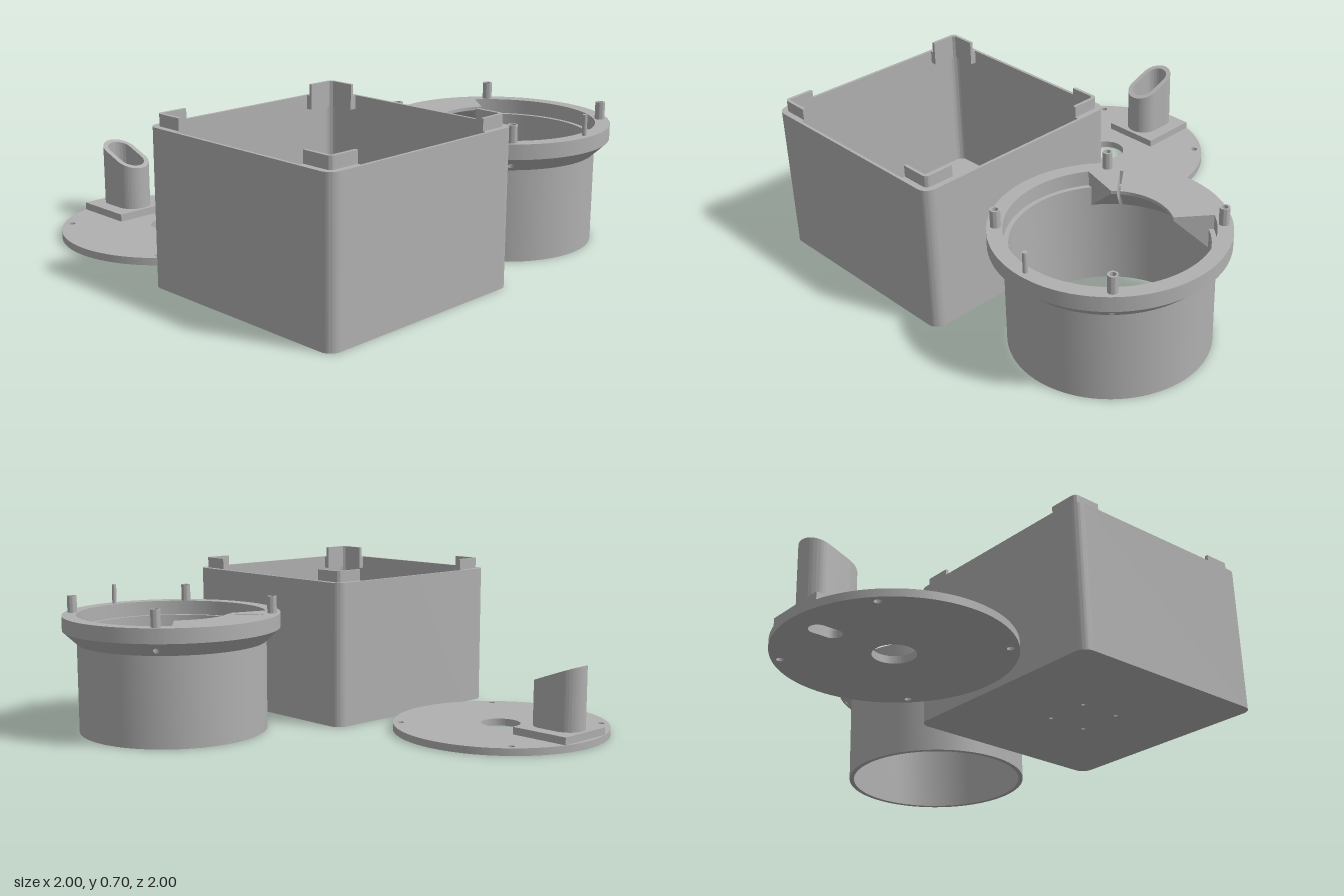
import * as THREE from 'three';
import { toCreasedNormals } from 'three/addons/utils/BufferGeometryUtils.js';

const grey = new THREE.MeshStandardMaterial({ color: 0xb0b0b0 });
grey.name = 'grey plastic';

function part(parent, name, geometry, x = 0, y = 0, z = 0) {
  const mesh = new THREE.Mesh(toCreasedNormals(geometry, 0.5), grey);
  mesh.name = name;
  mesh.position.set(x, y, z);
  parent.add(mesh);
  return mesh;
}

// Extrude a plan shape (shape y = -z) upwards from y = 0
function slab(shape, height, curveSegments = 24) {
  return new THREE.ExtrudeGeometry(shape, { depth: height, bevelEnabled: false, curveSegments })
    .rotateX(-Math.PI / 2);
}

function circle(x, y, r, Type = THREE.Path) {
  const c = new Type();
  c.absarc(x, y, r, 0, Math.PI * 2, false);
  return c;
}

// Rectangle with rounded corners, centred; a slot when r equals the half width
function rounded(hw, hh, r, Type = THREE.Shape) {
  const s = new Type(), q = Math.PI / 2;
  s.absarc(hw - r, hh - r, r, 0, q, false);
  s.absarc(-hw + r, hh - r, r, q, 2 * q, false);
  s.absarc(-hw + r, -hh + r, r, 2 * q, 3 * q, false);
  s.absarc(hw - r, -hh + r, r, 3 * q, 4 * q, false);
  s.closePath();
  return s;
}

function lathe(points, segments, start = 0, length = Math.PI * 2) {
  return new THREE.LatheGeometry(points.map(p => new THREE.Vector2(...p)), segments, start, length);
}

// L-shaped corner tab in plan, from inset a to inset b
function tabShape(a, b) {
  const end = 0.16, r = 0.025, s = new THREE.Shape();
  s.moveTo(a, end);
  s.lineTo(a, a + r);
  s.quadraticCurveTo(a, a, a + r, a);
  s.lineTo(end, a);
  s.lineTo(end, b);
  s.lineTo(b + 0.01, b);
  s.lineTo(b, b + 0.01);
  s.lineTo(b, end);
  return s;
}

function makeBox() {
  const box = new THREE.Group();
  box.name = 'box';
  const wall = rounded(0.499, 0.499, 0.05);
  wall.holes.push(rounded(0.486, 0.486, 0.037, THREE.Path));
  part(box, 'boxWalls', slab(wall, 0.65));

  const floor = rounded(0.49, 0.49, 0.041);
  for (const x of [-0.097, 0.097]) for (const y of [-0.097, 0.097]) floor.holes.push(circle(x, y, 0.01));
  part(box, 'boxFloor', slab(floor, 0.02));

  const ring = circle(0, 0, 0.39, THREE.Shape);
  ring.holes.push(circle(0, 0, 0.37));
  part(box, 'floorRing', slab(ring, 0.02, 64), 0, 0.02, 0);

  // Locating tabs in the four corners
  for (let k = 0; k < 4; k++) {
    const corner = new THREE.Group();
    corner.name = 'cornerTab';
    corner.rotation.y = k * Math.PI / 2;
    box.add(corner);
    part(corner, 'tabTop', slab(tabShape(0.028, 0.042), 0.05), -0.5, 0.65, 0.5);
    part(corner, 'tabRoot', slab(tabShape(0.012, 0.042), 0.06), -0.5, 0.59, 0.5);
  }
  box.position.set(-0.501, 0, 0.499);
  return box;
}

function makeLid() {
  const lid = new THREE.Group();
  lid.name = 'lid';
  const spoutY = 0.319; // spout centre in the plan, towards the back
  const disc = circle(0, 0, 0.479, THREE.Shape);
  disc.holes.push(circle(0, 0, 0.087));
  for (const x of [-0.314, 0.314]) for (const y of [-0.314, 0.314]) disc.holes.push(circle(x, y, 0.015));
  disc.holes.push(new THREE.Path(rounded(0.037, 0.07, 0.037).getPoints(16)
    .map(p => p.add(new THREE.Vector2(0, spoutY)))));
  part(lid, 'lidDisc', slab(disc, 0.032, 64));

  const channel = () => rounded(0.055, 0.098, 0.055, THREE.Path);
  const pad = new THREE.Shape([[-1, -1], [1, -1], [1, 1], [-1, 1]]
    .map(([x, y]) => new THREE.Vector2(x * 0.139, y * 0.138)));
  pad.holes.push(channel());
  part(lid, 'spoutPad', slab(pad, 0.033), 0, 0.032, -spoutY);

  // Slot-shaped spout with a slanted mouth
  const tube = rounded(0.077, 0.12, 0.077);
  tube.holes.push(channel());
  const g = slab(tube, 0.2);
  const p = g.attributes.position;
  for (let i = 0; i < p.count; i++) {
    if (p.getY(i) > 0.1) p.setY(i, 0.24 - p.getZ(i) * 0.375);
  }
  part(lid, 'spout', g, 0, 0.06, -spoutY);
  lid.position.set(-0.503, 0, -0.521);
  return lid;
}

// Ledge with a sloping underside, lofted between two angles measured from the back
function ledge(tip0, tip1, wall0, wall1) {
  const n = 20, pos = [], idx = [], rad = Math.PI / 180;
  for (let i = 0; i <= n; i++) {
    const t = i / n;
    const a = (tip0 + (tip1 - tip0) * t) * rad, b = (wall0 + (wall1 - wall0) * t) * rad;
    for (const [r, y, w] of [[0.253, 0.52, a], [0.253, 0.505, a], [0.4165, 0.35, b], [0.4165, 0.52, b]]) {
      pos.push(r * Math.sin(w), y, -r * Math.cos(w));
    }
  }
  for (let i = 0; i < n; i++) for (let j = 0; j < 4; j++) {
    const a = i * 4 + j, b = i * 4 + (j + 1) % 4;
    idx.push(a, b, b + 4, a, b + 4, a + 4);
  }
  const e = n * 4;
  idx.push(0, 2, 1, 0, 3, 2, e, e + 1, e + 2, e, e + 2, e + 3);
  const g = new THREE.BufferGeometry();
  g.setAttribute('position', new THREE.Float32BufferAttribute(pos, 3));
  g.setIndex(idx);
  return g;
}

function makeDrum() {
  const drum = new THREE.Group();
  drum.name = 'drum';
  part(drum, 'drumWall', lathe([[0.396, 0], [0.417, 0], [0.417, 0.455], [0.396, 0.455], [0.396, 0]], 96));

  // Flange with conical underside; short sectors carry the screw holes
  const inner = 0.416, outer = 0.479, half = 0.09, holeR = 0.443;
  const under = r => 0.395 + (r - inner) * 0.95;
  const sector = new THREE.Shape();
  sector.absarc(0, 0, outer, -half, half, false);
  sector.absarc(0, 0, inner, half, -half, true);
  sector.closePath();
  sector.holes.push(circle(holeR, 0, 0.013));
  const peg = circle(0, 0, 0.021, THREE.Shape);
  peg.holes.push(circle(0, 0, 0.013));

  for (let k = 0; k < 4; k++) {
    const angle = Math.PI / 4 + k * Math.PI / 2;
    part(drum, 'flangeArc', lathe([[inner, under(inner)], [outer, under(outer)], [outer, 0.52],
      [inner, 0.52], [inner, under(inner)]], 24, angle + half, Math.PI / 2 - 2 * half));

    const g = slab(sector, 0.52, 10);
    const p = g.attributes.position;
    for (let i = 0; i < p.count; i++) {
      if (p.getY(i) < 0.1) p.setY(i, under(Math.hypot(p.getX(i), p.getZ(i))));
    }
    part(drum, 'flangeHoleSector', g).rotation.y = angle;
    part(drum, 'hollowPeg', slab(peg, 0.075), holeR * Math.sin(angle), 0.52, holeR * Math.cos(angle));
  }
  part(drum, 'locatingPin', new THREE.CylinderGeometry(0.01, 0.01, 0.1, 20), 0, 0.558, 0.448);

  // Inner ledge at the back, with a narrow slit and a small slanted piece beside it
  part(drum, 'backLedge', ledge(-34.5, 34.5, -36, 36.5));
  part(drum, 'sideLedge', ledge(-43, -37.5, -56, -38));
  drum.position.set(0.519, 0, 0.519);
  return drum;
}

export function createModel() {
  const model = new THREE.Group();
  model.name = 'enclosureParts';
  model.add(makeBox(), makeLid(), makeDrum());
  return model;
}
